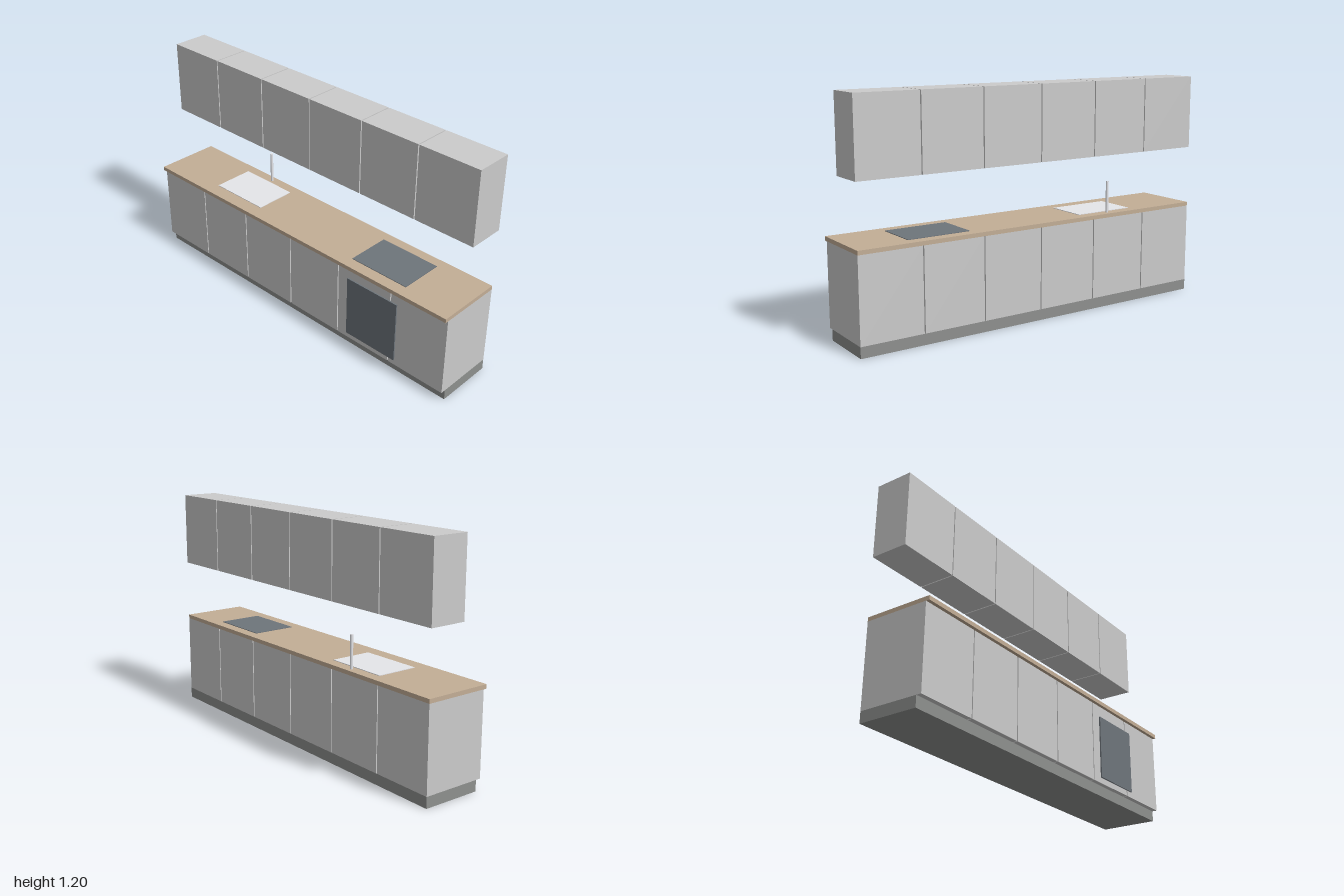
import * as THREE from 'three';

const mat = (color) => new THREE.MeshStandardMaterial({ color });

// Box given by its [min, max] range on each axis
function block(name, [x0, x1], [y0, y1], [z0, z1], material) {
  const mesh = new THREE.Mesh(new THREE.BoxGeometry(x1 - x0, y1 - y0, z1 - z0), material);
  mesh.position.set((x0 + x1) / 2, (y0 + y1) / 2, (z0 + z1) / 2);
  mesh.name = name;
  return mesh;
}

// Row of equal cabinets separated by narrow gaps
function cabinetRow(name, y, z, material) {
  const row = new THREE.Group();
  row.name = name;
  const count = 6, gap = 0.006;
  const width = (2 - gap * (count - 1)) / count;
  for (let i = 0; i < count; i++) {
    const x = -1 + i * (width + gap);
    row.add(block(`${name}Cabinet${i + 1}`, [x, x + width], y, z, material));
  }
  return row;
}

export function createModel() {
  const kitchen = new THREE.Group();
  kitchen.name = 'kitchen';
  const grey = mat(0xcccccc);
  const steel = mat(0xe5e6ea);
  const glass = mat(0x6e757b);
  const back = -0.176;

  // Cabinets on a recessed plinth, with wall units above
  kitchen.add(
    block('plinth', [-1, 1], [0, 0.056], [back, 0.132], mat(0x8e908e)),
    cabinetRow('base', [0.056, 0.48], [back, 0.158], grey),
    cabinetRow('wall', [0.809, 1.195], [back, 0.018], grey),
    block('worktop', [-1, 1], [0.48, 0.501], [back, 0.176], mat(0xc3ae96))
  );

  // Appliances: thin panels standing just proud of their surfaces
  kitchen.add(
    block('sink', [-0.615, -0.28], [0.498, 0.504], [-0.12, 0.1], steel),
    block('hob', [0.385, 0.72], [0.498, 0.504], [-0.12, 0.114], glass),
    block('ovenDoor', [0.4, 0.71], [0.086, 0.419], [0.156, 0.165], glass)
  );

  // Upright tap behind the sink
  const tap = new THREE.Mesh(new THREE.CylinderGeometry(0.0075, 0.0075, 0.168, 16), steel);
  tap.name = 'tap';
  tap.position.set(-0.447, 0.584, -0.146);
  kitchen.add(tap);

  return kitchen;
}
